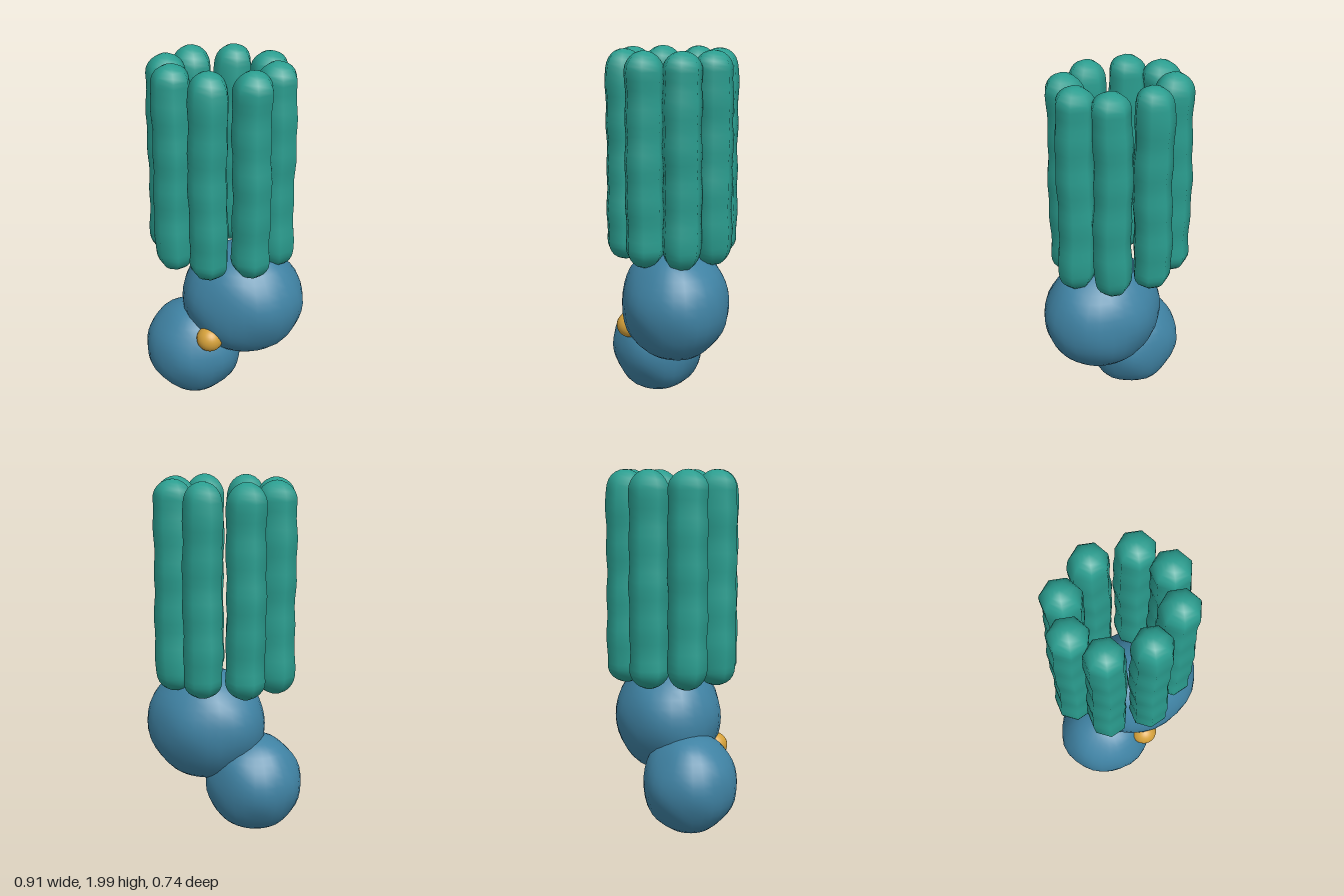
import * as THREE from 'three';
import { mergeVertices } from 'three/addons/utils/BufferGeometryUtils.js';

const teal = new THREE.MeshStandardMaterial({ color: 0x2a9d8f });
const blue = new THREE.MeshStandardMaterial({ color: 0x3f82a3 });
const gold = new THREE.MeshStandardMaterial({ color: 0xd4a03a });

// Weld the seams, move each vertex by a rule, then smooth the normals
function sculpt(geometry, move) {
  geometry.deleteAttribute('uv');
  geometry.deleteAttribute('normal');
  const g = mergeVertices(geometry, 1e-4);
  const p = g.attributes.position;
  const v = new THREE.Vector3();
  for (let i = 0; i < p.count; i++) {
    v.fromBufferAttribute(p, i);
    move(v);
    p.setXYZ(i, v.x, v.y, v.z);
  }
  g.computeVertexNormals();
  return g;
}

// Softly lumpy ellipsoid
function lump(name, material, center, radii, bump, phase) {
  const g = sculpt(new THREE.SphereGeometry(1, 28, 20), (v) => {
    const n = Math.sin(v.x * 5 + phase) * Math.sin(v.y * 5 + phase * 2) * Math.cos(v.z * 5 + phase);
    v.multiplyScalar(1 + bump * n);
    v.set(v.x * radii[0], v.y * radii[1], v.z * radii[2]);
  });
  const mesh = new THREE.Mesh(g, material);
  mesh.name = name;
  mesh.position.set(...center);
  return mesh;
}

// Seven-sided rounded column with a gently wavy outline
function column(index) {
  const radius = 0.107, height = 1.155;
  const capsule = new THREE.CapsuleGeometry(radius, height - 2 * radius, 6, 7, 20);
  capsule.rotateY(-Math.PI / 2); // one corner points to the back
  const g = sculpt(capsule, (v) => {
    const k = 1 + 0.03 * Math.sin(v.y * 27 + index * 1.7);
    const sway = 0.004 * Math.sin(v.y * 9 + index * 2.3);
    v.x = v.x * k + sway;
    v.z = v.z * k + sway * 0.6;
  });
  const mesh = new THREE.Mesh(g, teal);
  mesh.name = 'column' + (index + 1);
  return mesh;
}

export function createModel() {
  const model = new THREE.Group();
  model.name = 'model';

  // Two overlapping rounded bodies and the small bead between them
  model.add(lump('lowerBody', blue, [-0.177, 0.283, 0.062], [0.277, 0.28, 0.262], 0.03, 0.8));
  model.add(lump('upperBody', blue, [0.1, 0.61, 0.008], [0.348, 0.325, 0.299], 0.025, 2.1));
  model.add(lump('bead', gold, [-0.028, 0.447, 0.247], [0.074, 0.072, 0.074], 0, 0));

  // Oval ring of eight upright columns
  const ring = new THREE.Group();
  ring.name = 'columnRing';
  for (let i = 0; i < 8; i++) {
    const a = (i / 8) * Math.PI * 2;
    const c = column(i);
    c.position.set(-0.023 + 0.305 * Math.cos(a), 1.417, 0.003 + 0.262 * Math.sin(a));
    ring.add(c);
  }
  model.add(ring);
  return model;
}
